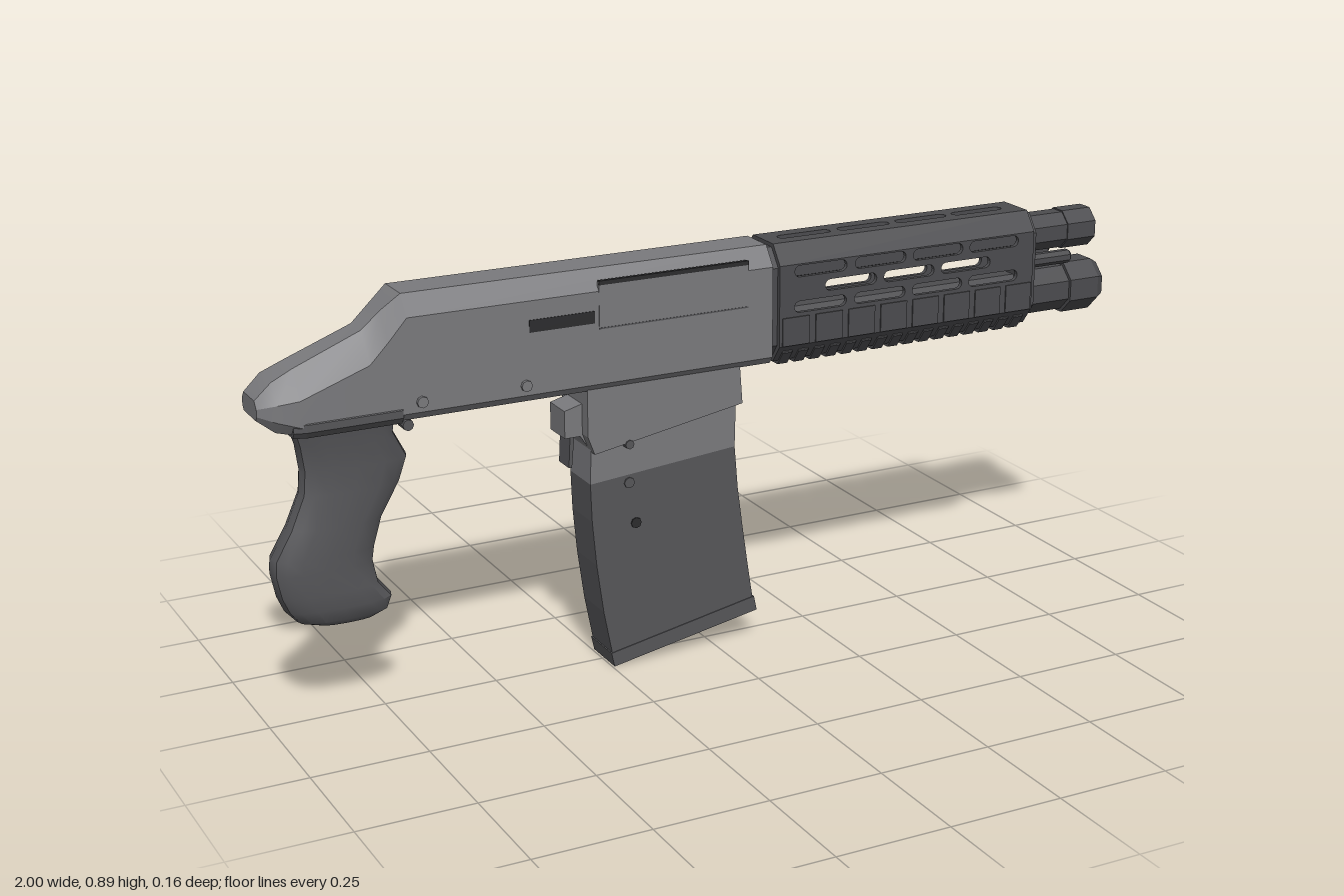
import * as THREE from 'three';
import { toCreasedNormals } from 'three/addons/utils/BufferGeometryUtils.js';

const mat = (name, color) => { const m = new THREE.MeshStandardMaterial({ color }); m.name = name; return m; };
const V = (x, y, z) => new THREE.Vector3(x, y, z);

export function createModel() {
  const group = new THREE.Group();
  const body = mat('receiver grey', 0x7a7a7d);
  const dark = mat('dark grey', 0x565659);
  const guard = mat('handguard grey', 0x4c4c4f);
  const black = mat('recess black', 0x2c2c2e);

  const flat = (g) => {
    const f = g.index ? g.toNonIndexed() : g;
    f.computeVertexNormals();
    return f;
  };
  const add = (name, geo, material, parent = group) => {
    const m = new THREE.Mesh(geo, material);
    m.name = name;
    parent.add(m);
    return m;
  };
  const box = (name, x0, x1, y0, y1, z0, z1, material) => add(name,
    new THREE.BoxGeometry(x1 - x0, y1 - y0, z1 - z0).translate((x0 + x1) / 2, (y0 + y1) / 2, (z0 + z1) / 2), material);

  // side profile in x,y extruded symmetrically across z
  const slab = (name, pts, half, material) => {
    const s = new THREE.Shape(pts.map(([x, y]) => new THREE.Vector2(x, y)));
    const g = new THREE.ExtrudeGeometry(s, { depth: half * 2, bevelEnabled: false }).translate(0, 0, -half);
    return add(name, flat(g), material);
  };

  // skin over a row of equal-length cross-section loops, capped at both ends
  const loft = (loops) => {
    const n = loops[0].length, pos = [], idx = [];
    loops.forEach((l) => l.forEach((p) => pos.push(p.x, p.y, p.z)));
    for (let i = 0; i < loops.length - 1; i++) for (let j = 0; j < n; j++) {
      const k = (j + 1) % n, a = i * n + j, d = i * n + k;
      idx.push(a, a + n, d + n, a, d + n, d);
    }
    const e = (loops.length - 1) * n;
    for (let j = 1; j < n - 1; j++) idx.push(0, j, j + 1, e, e + j + 1, e + j);
    const g = new THREE.BufferGeometry();
    g.setAttribute('position', new THREE.Float32BufferAttribute(pos, 3));
    g.setIndex(idx);
    return g.toNonIndexed();
  };

  // eight-cornered section: half width, bottom, top, bottom chamfer, top chamfer
  const octagon = (x, w, b, t, cb, ct) => [
    V(x, b + cb, w), V(x, t - ct, w), V(x, t, w - ct * 0.75), V(x, t, -w + ct * 0.75),
    V(x, t - ct, -w), V(x, b + cb, -w), V(x, b, -w + cb * 0.75), V(x, b, w - cb * 0.75)];

  // eight-sided turned part along x
  const turned = (name, profile, y, z, material) => {
    const g = new THREE.LatheGeometry(profile.map(([x, r]) => new THREE.Vector2(r, x)), 8, Math.PI / 8);
    return add(name, flat(g.rotateZ(-Math.PI / 2).translate(0, y, z)), material);
  };

  // receiver with sloped tail
  add('receiver', toCreasedNormals(loft([
    octagon(-1, 0.045, 0.672, 0.712, 0.01, 0.015),
    octagon(-0.965, 0.066, 0.645, 0.745, 0.025, 0.04),
    octagon(-0.92, 0.073, 0.635, 0.765, 0.02, 0.055),
    octagon(-0.775, 0.073, 0.635, 0.822, 0.015, 0.06),
    octagon(-0.735, 0.073, 0.635, 0.858, 0.015, 0.055),
    octagon(-0.695, 0.073, 0.635, 0.89, 0.015, 0.042),
    octagon(0.125, 0.073, 0.635, 0.89, 0.015, 0.042),
  ]), 0.5), body);
  add('frontCollar', flat(loft([
    octagon(0.12, 0.066, 0.642, 0.882, 0.03, 0.04),
    octagon(0.15, 0.066, 0.642, 0.882, 0.03, 0.04)])), guard);

  // ejection port, its shadow edges and the handle slot
  box('ejectionPort', -0.28, 0.065, 0.77, 0.867, 0.066, 0.0745, body);
  box('portTopEdge', -0.28, 0.065, 0.861, 0.87, 0.067, 0.0755, black);
  box('portLowerEdge', -0.28, 0.065, 0.768, 0.771, 0.067, 0.0755, dark);
  box('handleSlot', -0.435, -0.29, 0.782, 0.808, 0.067, 0.0745, black);

  // cross pins
  const pin = (name, x, y, r, half, material) => add(name,
    flat(new THREE.CylinderGeometry(r, r, half * 2, 8).rotateX(Math.PI / 2).translate(x, y, 0)), material);
  for (const x of [-0.67, -0.445]) pin('receiverPin', x, 0.672, 0.012, 0.08, body);
  pin('magazinePin', -0.205, 0.415, 0.012, 0.053, dark);
  pin('magazinePin', -0.19, 0.322, 0.012, 0.053, black);
  pin('magazinePin', -0.21, 0.505, 0.01, 0.067, dark);
  pin('triggerButton', -0.68, 0.607, 0.012, 0.018, dark);

  // magazine well, magazine and release
  slab('magazineWell', [[-0.305, 0.66], [-0.305, 0.535], [-0.29, 0.495], [0.058, 0.555], [0.05, 0.66]], 0.064, body);
  slab('magazineNeck', [[-0.29, 0.56], [-0.295, 0.425], [0.047, 0.455], [0.05, 0.58]], 0.05, body);
  slab('magazine', [[-0.295, 0.425], [-0.292, 0.34], [-0.283, 0.24], [-0.268, 0.13], [-0.248, 0.025],
    [0.094, 0.09], [0.08, 0.18], [0.067, 0.27], [0.055, 0.36], [0.047, 0.455]], 0.05, dark);
  slab('magazineBase', [[-0.252, 0.032], [-0.245, 0], [0.103, 0.065], [0.096, 0.098]], 0.052, dark);
  slab('magazineRelease', [[-0.345, 0.59], [-0.3, 0.602], [-0.29, 0.5], [-0.31, 0.53], [-0.345, 0.53]], 0.036, body);
  slab('releaseLever', [[-0.328, 0.535], [-0.318, 0.535], [-0.325, 0.46], [-0.332, 0.46]], 0.025, dark);

  // pistol grip: y, back x, front x, half width
  const gripRows = [
    [0.21, -0.89, -0.765, 0.026], [0.222, -0.93, -0.737, 0.036], [0.25, -0.955, -0.727, 0.043],
    [0.285, -0.97, -0.755, 0.046], [0.335, -0.98, -0.765, 0.046], [0.365, -0.978, -0.76, 0.046],
    [0.425, -0.942, -0.742, 0.044], [0.495, -0.912, -0.7, 0.041], [0.545, -0.908, -0.682, 0.041],
    [0.6, -0.915, -0.71, 0.045], [0.65, -0.93, -0.705, 0.055]];
  const soft = (v) => Math.sign(v) * Math.abs(v) ** 0.75;
  add('grip', toCreasedNormals(loft(gripRows.map(([y, b, f, w]) => Array.from({ length: 16 }, (_, i) => {
    const t = (i / 16) * Math.PI * 2;
    return V((b + f) / 2 - soft(Math.sin(t)) * (f - b) / 2, y, soft(Math.cos(t)) * w);
  }))), 0.6), dark);
  add('gripFlange', flat(loft([
    octagon(-0.935, 0.068, 0.632, 0.664, 0.012, 0.004),
    octagon(-0.91, 0.0745, 0.63, 0.664, 0.014, 0.004),
    octagon(-0.71, 0.0745, 0.63, 0.664, 0.014, 0.004)])), dark);

  // handguard shell: one slotted panel per side of an octagon
  const handguard = new THREE.Group();
  handguard.name = 'handguard';
  group.add(handguard);
  const x0 = 0.14, x1 = 0.785, cx = (x0 + x1) / 2;
  const ring = octagon(0, 0.076, 0.632, 0.89, 0.038, 0.042);
  const four = [0.24, 0.388, 0.534, 0.68], three = [0.315, 0.461, 0.607];
  const row = (xs, y) => xs.map((x) => [x - cx, y]);
  const slot = (x, y, hl = 0.064, r = 0.0125) => {
    const p = new THREE.Path();
    p.absarc(x + hl - r, y, r, -Math.PI / 2, Math.PI / 2, false);
    p.absarc(x - hl + r, y, r, Math.PI / 2, Math.PI * 1.5, false);
    p.closePath();
    return p;
  };
  ring.forEach((a, i) => {
    const b = ring[(i + 1) % 8], h = a.distanceTo(b) / 2, L = (x1 - x0) / 2, mid = (a.y + b.y) / 2;
    const s = new THREE.Shape([[-L, -h], [L, -h], [L, h], [-L, h]].map(([x, y]) => new THREE.Vector2(x, y)));
    const sign = i === 4 ? -1 : 1;
    let slots = [];
    if (i === 0 || i === 4) {
      slots = [...row(four, (0.832 - mid) * sign), ...row(three, (0.793 - mid) * sign), ...row(four, (0.754 - mid) * sign)];
    } else if (i === 2) slots = row(four, 0);
    s.holes = slots.map(([x, y]) => slot(x, y));
    const g = new THREE.ExtrudeGeometry(s, { depth: 0.01, bevelEnabled: false, curveSegments: 4 }).translate(0, 0, -0.01);
    g.rotateX(Math.atan2(b.z - a.z, b.y - a.y)).translate(cx, mid, (a.z + b.z) / 2);
    add('handguardPanel', flat(g), guard, handguard);
  });

  // handguard end plates and lower grip ribs
  for (const [a, b] of [[0.142, 0.155], [0.772, 0.796]]) {
    add('handguardEnd', flat(loft([a, b].map((x) => octagon(x, 0.069, 0.64, 0.882, 0.036, 0.04)))), guard, handguard);
  }
  for (let i = 0; i < 16; i++) {
    const x = 0.165 + i * 0.0395;
    add('lowerRib', flat(loft([x - 0.012, x + 0.012].map((v) => octagon(v, 0.068, 0.623, 0.66, 0.03, 0.004)))), guard, handguard);
  }
  for (let i = 0; i < 8; i++) for (const s of [-1, 1]) {
    const x = 0.18 + i * 0.081;
    add('sideRib', new THREE.BoxGeometry(0.066, 0.062, 0.004).translate(x, 0.702, s * 0.077), guard, handguard);
  }

  // hollow barrel, lower tube with wide cap and the two guide rods
  turned('barrel', [[0.13, 0.04], [0.8, 0.04], [0.8, 0.044], [0.9, 0.044], [0.9, 0.047], [0.975, 0.047],
    [0.975, 0.034], [0.8, 0.034], [0.8, 0]], 0.826, 0, guard);
  turned('lowerTube', [[0.13, 0.05], [0.78, 0.05], [0.78, 0.055], [0.905, 0.055], [0.905, 0.063], [0.98, 0.063],
    [1, 0.05], [1, 0]], 0.692, 0, guard);
  for (const z of [-0.043, 0.043]) turned('guideRod', [[0.76, 0.016], [0.9, 0.016], [0.905, 0.012], [0.905, 0]], 0.771, z, guard);

  return group;
}
